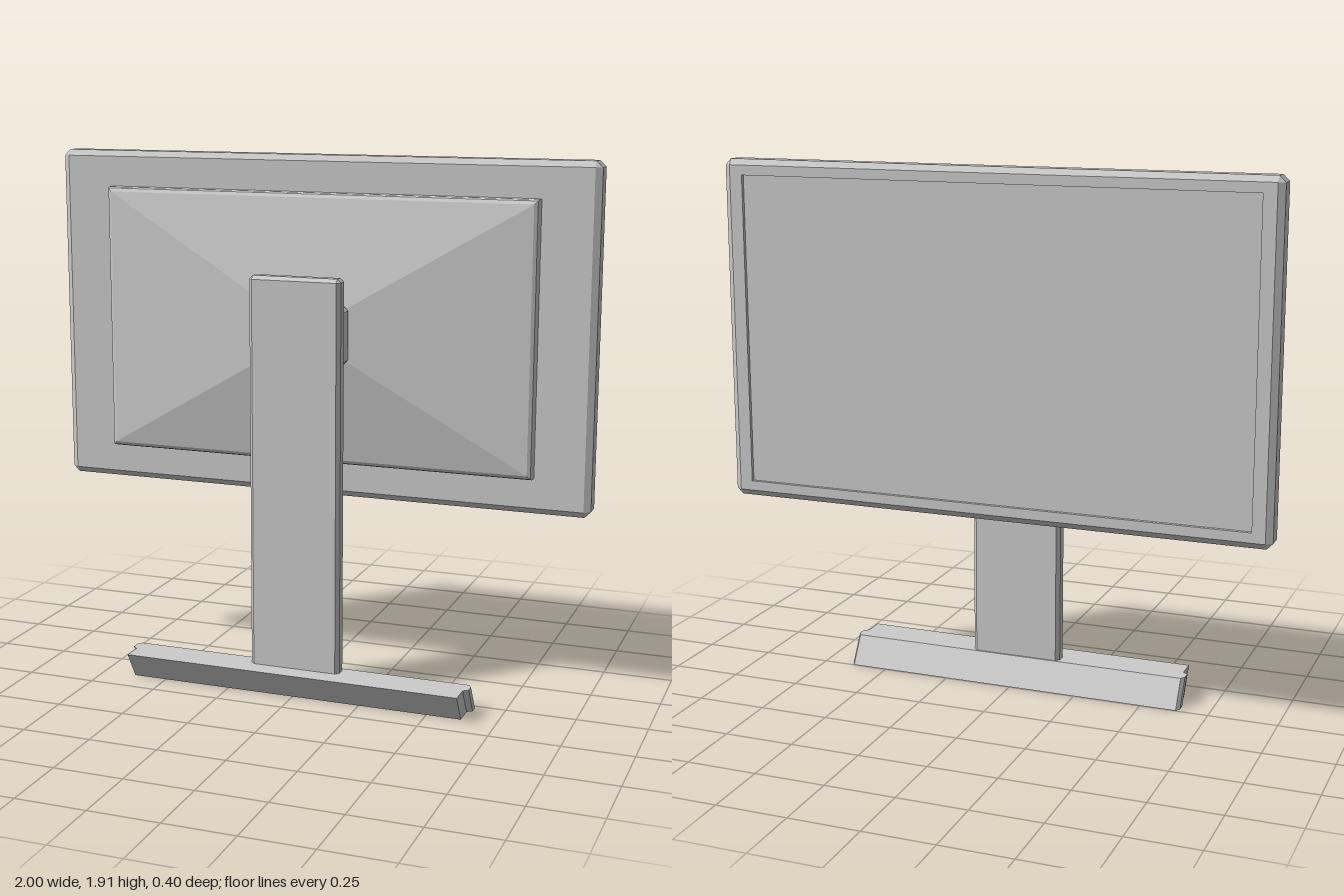
import * as THREE from 'three';

const grey = new THREE.MeshStandardMaterial({ color: 0xcccccc, flatShading: true });

// Rectangular cross-section at depth z with cut corners, counter-clockwise.
function ring([w, h, z, c = 0]) {
  return [
    [w, -h + c], [w, h - c], [w - c, h], [-w + c, h],
    [-w, h - c], [-w, -h + c], [-w + c, -h], [w - c, -h],
  ].map(([x, y]) => [x, y, z]);
}

// Skin a list of [halfWidth, halfHeight, z, cornerCut] sections, capped at both ends.
function loft(sections) {
  const rings = sections.map(ring);
  const pos = [];
  const tri = (...pts) => pts.forEach((p) => pos.push(...p));
  for (let r = 0; r < rings.length - 1; r++) {
    const a = rings[r], b = rings[r + 1];
    for (let i = 0; i < 8; i++) {
      const j = (i + 1) % 8;
      tri(a[i], a[j], b[j]);
      tri(a[i], b[j], b[i]);
    }
  }
  const first = rings[0], last = rings[rings.length - 1];
  for (let i = 1; i < 7; i++) {
    tri(first[0], first[i + 1], first[i]);
    tri(last[0], last[i], last[i + 1]);
  }
  const geo = new THREE.BufferGeometry();
  geo.setAttribute('position', new THREE.Float32BufferAttribute(pos, 3));
  geo.computeVertexNormals();
  return geo;
}

// Box between two depths with every edge chamfered.
function chamferBox(w, h, z0, z1, c) {
  return loft([[w - c, h - c, z0], [w, h, z0 + c, c], [w, h, z1 - c, c], [w - c, h - c, z1]]);
}

export function createModel() {
  const model = new THREE.Group();
  const add = (name, geo, y = 0) => {
    const mesh = new THREE.Mesh(geo, grey);
    mesh.name = name;
    mesh.position.y = y;
    model.add(mesh);
  };
  const centreY = 1.3;

  // Display panel with bevelled rim and a recessed screen facing -z
  add('displayPanel', loft([
    [0.93, 0.555, -0.187],
    [0.93, 0.555, -0.2],
    [0.977, 0.59, -0.2],
    [1, 0.611, -0.185, 0.022],
    [1, 0.611, -0.13, 0.022],
    [0.977, 0.59, -0.115],
  ]), centreY);

  // Housing that tapers from the panel to the mount
  add('rearHousing', loft([
    [0.8, 0.482, -0.12],
    [0.8, 0.482, -0.085],
    [0.797, 0.478, -0.075],
    [0.785, 0.466, -0.068],
    [0.16, 0.1, 0],
  ]), centreY);

  // Mount block and upright
  add('mountBlock', chamferBox(0.158, 0.1, -0.005, 0.085, 0.013), centreY);
  add('column', chamferBox(0.168, 0.73, 0.068, 0.125, 0.013), 0.78);

  // Base bar: notched plan outline [x, z], sheared backwards towards the floor
  const half = [[0.625, 0.2], [0.625, 0.125], [0.643, 0.11], [0.643, 0.08], [0.632, 0.062]];
  const outline = [...half, ...half.map(([x, z]) => [-x, z]).reverse()];
  const base = new THREE.ExtrudeGeometry(
    new THREE.Shape(outline.map(([x, z]) => new THREE.Vector2(x, -z))),
    { depth: 0.1, bevelEnabled: false },
  );
  base.rotateX(-Math.PI / 2);
  const p = base.attributes.position;
  for (let i = 0; i < p.count; i++) p.setZ(i, p.getZ(i) - 0.6 * (0.1 - p.getY(i)));
  base.computeVertexNormals();
  add('base', base);

  return model;
}
